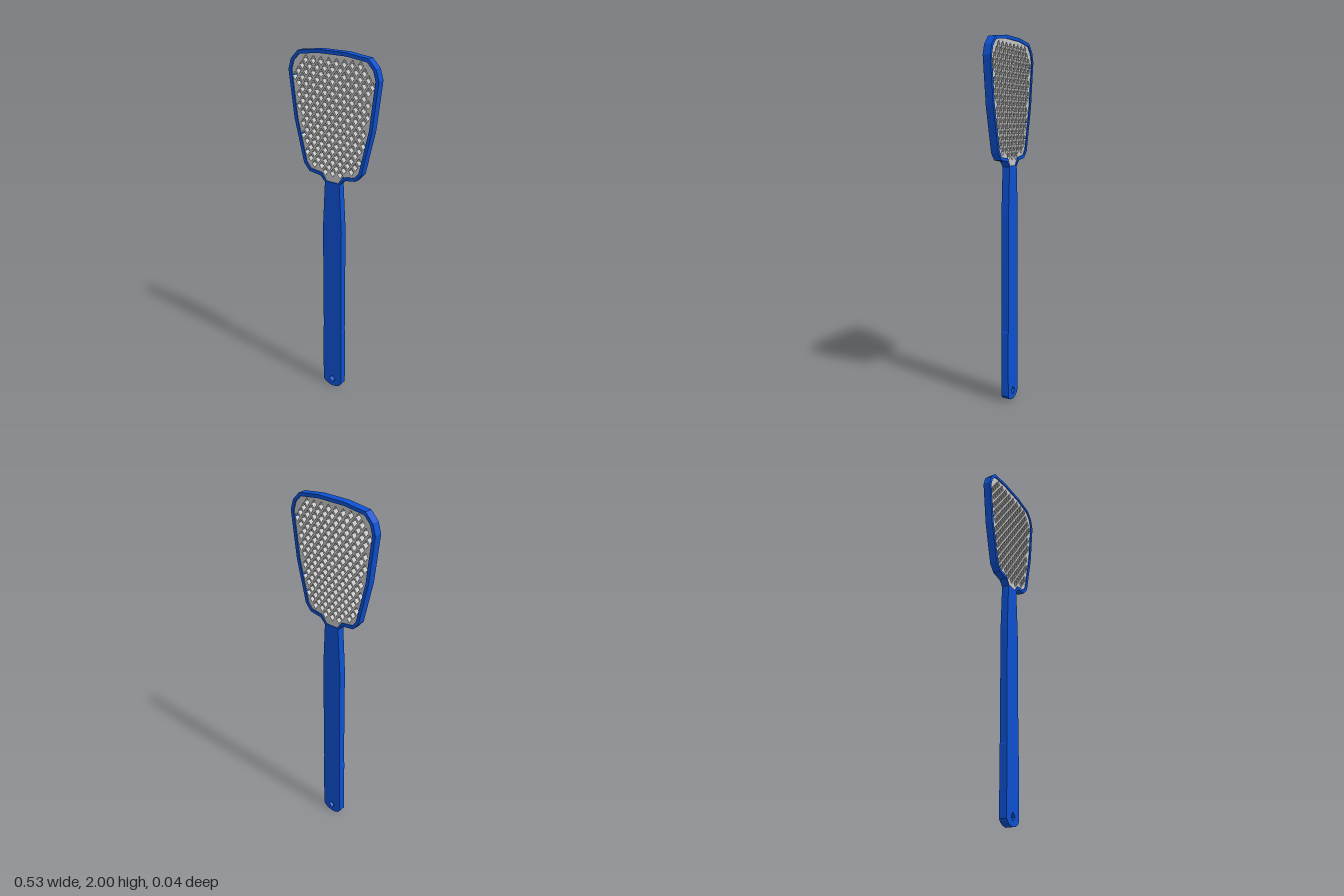
import * as THREE from 'three';

const blue = new THREE.MeshStandardMaterial({ color: 0x0c50d0 });
blue.name = 'blue plastic';
const grey = new THREE.MeshStandardMaterial({ color: 0xc4c4c4 });
grey.name = 'grey mesh';

// Mirrors a right-hand profile (bottom to top) into a closed outline
const mirrored = (half) => [
  ...half,
  ...half.filter(([x]) => x > 0).reverse().map(([x, y]) => [-x, y]),
].map(([x, y]) => new THREE.Vector2(x, y));

const diamond = (x, y, w, h) => new THREE.Path([
  new THREE.Vector2(x, y - h), new THREE.Vector2(x + w, y),
  new THREE.Vector2(x, y + h), new THREE.Vector2(x - w, y),
]);

function plate(name, outline, holes, depth, material) {
  const shape = new THREE.Shape(outline);
  shape.holes = holes;
  const geometry = new THREE.ExtrudeGeometry(shape, { depth, bevelEnabled: false });
  geometry.translate(0, 0, -depth / 2);
  const mesh = new THREE.Mesh(geometry, material);
  mesh.name = name;
  return mesh;
}

function inside(p, poly) {
  let hit = false;
  for (let i = 0, j = poly.length - 1; i < poly.length; j = i++) {
    const a = poly[i], b = poly[j];
    if ((a.y > p.y) !== (b.y > p.y) &&
      p.x < (b.x - a.x) * (p.y - a.y) / (b.y - a.y) + a.x) hit = !hit;
  }
  return hit;
}

export function createModel() {
  const group = new THREE.Group();
  group.name = 'flySwatter';
  const depth = 0.042;

  // Handle with a rounded foot and a hanging hole
  const handle = mirrored([
    [0, 0], [0.03, 0.006], [0.05, 0.017], [0.063, 0.033], [0.063, 0.4],
    [0.06, 0.41], [0.06, 1.05], [0.045, 1.325],
  ]);
  group.add(plate('handle', handle, [diamond(0, 0.05, 0.021, 0.022)], depth, blue));

  // Rim around the paddle
  const outer = [
    [0.045, 1.32], [0.075, 1.35], [0.145, 1.36], [0.18, 1.4], [0.236, 1.635],
    [0.267, 1.885], [0.25, 1.94], [0.207, 1.984], [0.08, 2], [0, 2],
  ];
  const inner = [
    [0.033, 1.322], [0.067, 1.367], [0.137, 1.377], [0.163, 1.409], [0.218, 1.637],
    [0.248, 1.885], [0.234, 1.931], [0.199, 1.967], [0.08, 1.982], [0, 1.982],
  ];
  group.add(plate('rim', mirrored(outer), [new THREE.Path(mirrored(inner))], depth, blue));

  // Perforated paddle, its edge buried in the rim
  const edge = mirrored(outer.map(([x, y], i) =>
    [x * 0.25 + inner[i][0] * 0.75, y * 0.25 + inner[i][1] * 0.75]));
  const w = 0.016, h = 0.022, holes = [];
  for (let row = 0; row < 24; row++) {
    const y = 1.315 + row * 0.03;
    for (let col = -7; col <= 7; col++) {
      const x = (col + (row % 2) / 2) * 0.046;
      const hole = diamond(x, y, w, h);
      const corners = diamond(x, y, w + 0.002, h + 0.002).getPoints();
      if (corners.every((p) => inside(p, edge))) holes.push(hole);
    }
  }
  group.add(plate('paddleMesh', edge, holes, 0.03, grey));
  return group;
}
